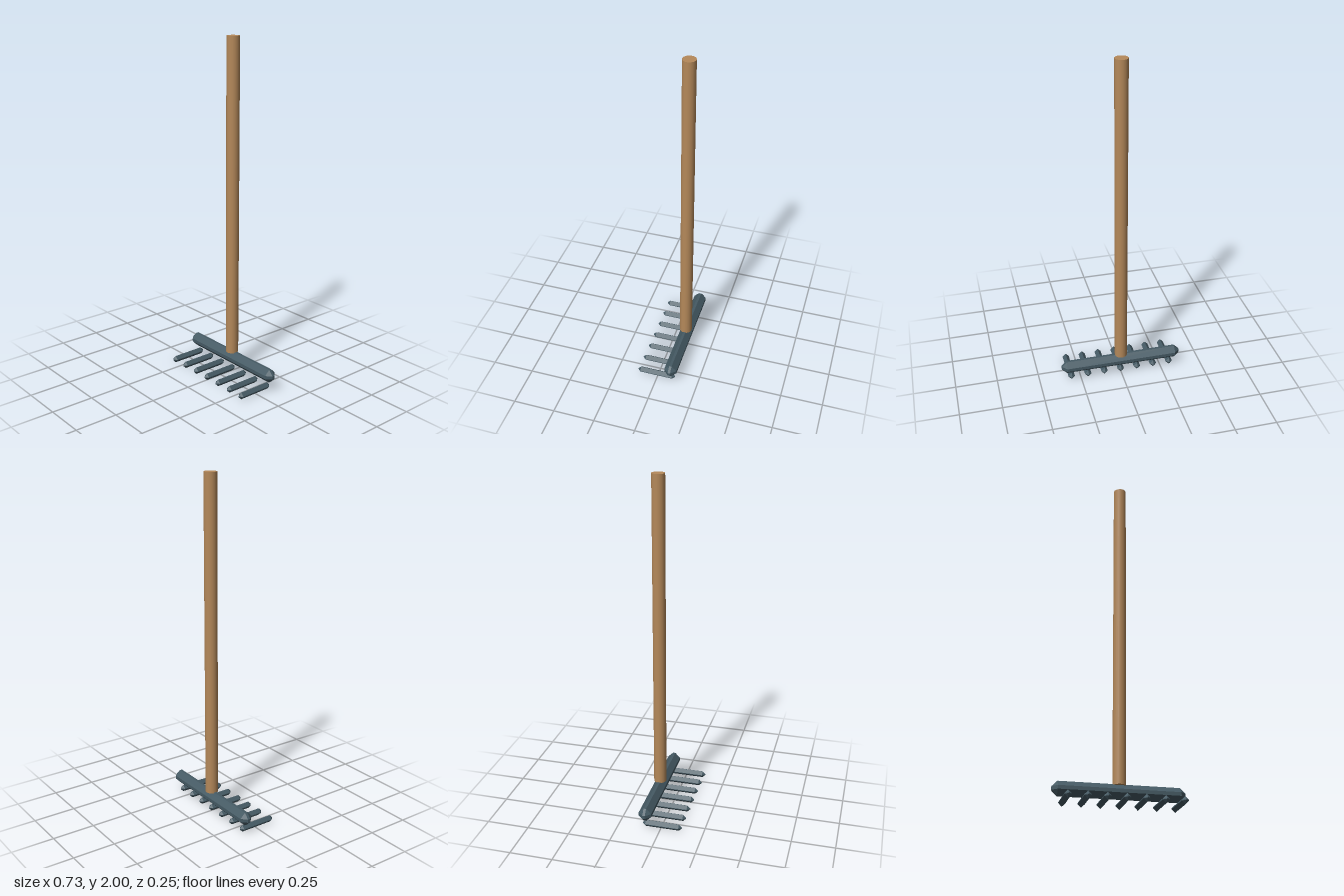
import * as THREE from 'three';
import { ConvexGeometry } from 'three/addons/geometries/ConvexGeometry.js';

// Box whose edges and corners are cut by a single flat chamfer c
function chamferedBox(w, h, d, c) {
  const [x, y, z] = [w / 2, h / 2, d / 2];
  const points = [];
  for (const sx of [-1, 1]) for (const sy of [-1, 1]) for (const sz of [-1, 1]) {
    points.push(
      new THREE.Vector3(sx * x, sy * (y - c), sz * (z - c)),
      new THREE.Vector3(sx * (x - c), sy * y, sz * (z - c)),
      new THREE.Vector3(sx * (x - c), sy * (y - c), sz * z),
    );
  }
  return new ConvexGeometry(points);
}

export function createModel() {
  const model = new THREE.Group();
  model.name = 'rake';
  const wood = new THREE.MeshStandardMaterial({ color: 0xb5895a });
  const metal = new THREE.MeshStandardMaterial({ color: 0x455a64, flatShading: true });

  const add = (name, geometry, material, x, y, z) => {
    const mesh = new THREE.Mesh(geometry, material);
    mesh.name = name;
    mesh.position.set(x, y, z);
    model.add(mesh);
  };

  // Upright round handle resting on the head bar
  const backZ = -0.088;
  add('handle', new THREE.CylinderGeometry(0.0375, 0.0375, 1.87, 16), wood, 0, 1.065, backZ);

  // Heavily chamfered head bar
  add('headBar', chamferedBox(0.732, 0.08, 0.075, 0.03), metal, 0, 0.094, backZ);

  // Row of seven forward-pointing tines under the bar
  const tine = chamferedBox(0.038, 0.041, 0.234, 0.0182);
  for (let i = -3; i <= 3; i++) add('tine', tine, metal, i * 0.1025, 0.0205, 0.008);

  return model;
}
